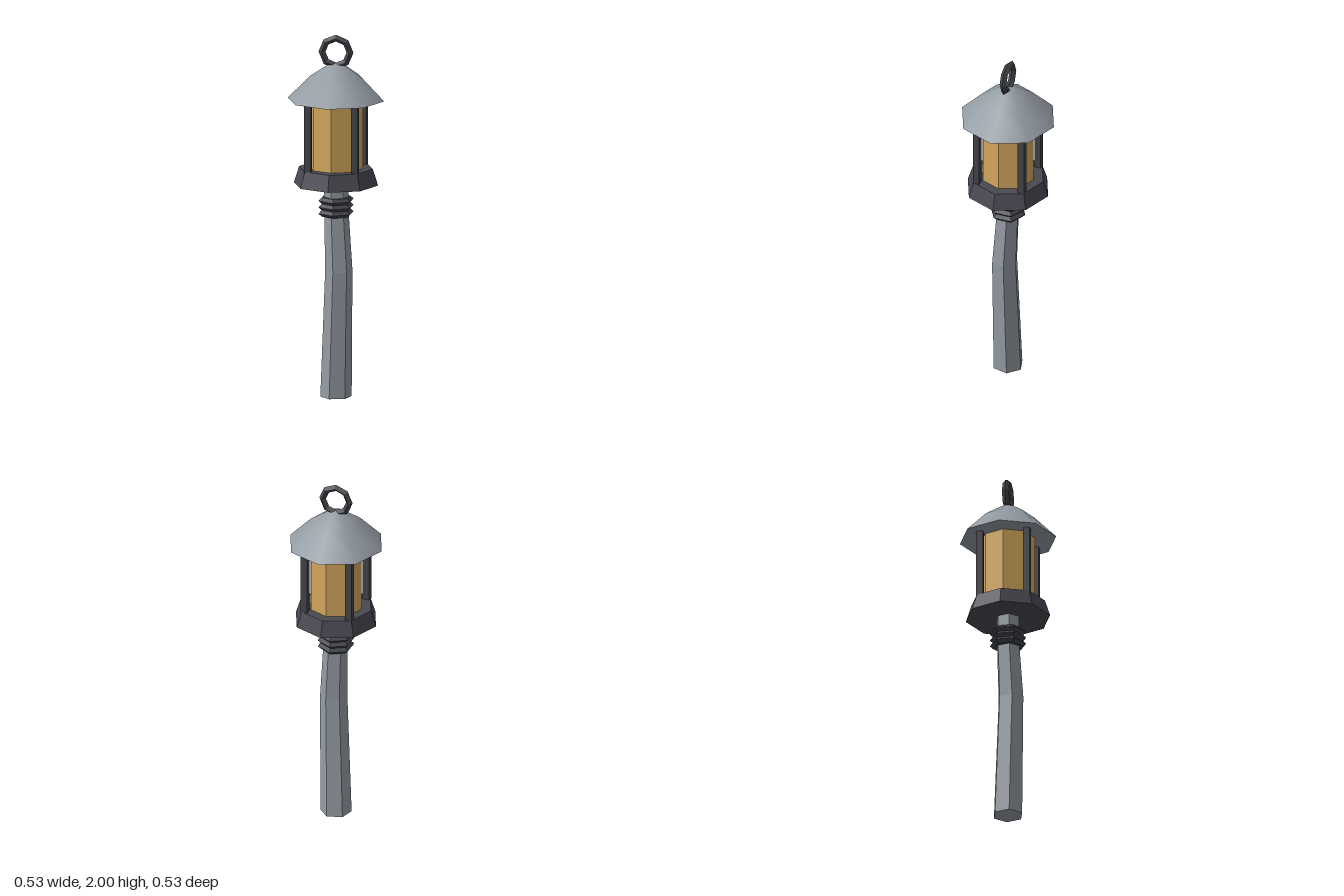
import * as THREE from 'three';

const paint = (name, color) => {
  const m = new THREE.MeshStandardMaterial({ color });
  m.name = name;
  return m;
};

// Facet a geometry so that every face has its own normal
const flat = (g) => {
  const f = g.index ? g.toNonIndexed() : g;
  f.computeVertexNormals();
  return f;
};

export function createModel() {
  const stone = paint('weathered grey', 0x949ca4);
  const metal = paint('dark metal', 0x4a4953);
  const iron = paint('black iron', 0x43454b);
  const amber = paint('amber glass', 0xd6a95e);

  const model = new THREE.Group();
  model.name = 'lanternPost';
  const add = (name, geometry, material, y = 0, parent = model) => {
    const mesh = new THREE.Mesh(geometry, material);
    mesh.name = name;
    mesh.position.y = y;
    parent.add(mesh);
    return mesh;
  };

  // Crooked six-sided pole: each row has a height, radius and centre
  const rows = [
    [0, 0.085, 0, 0],
    [0.7, 0.074, 0.018, 0.013],
    [1.03, 0.066, 0.002, 0],
    [1.19, 0.066, 0, 0],
  ];
  const pole = new THREE.CylinderGeometry(1, 1, 1, 6, 3, false, Math.PI / 4);
  const p = pole.attributes.position;
  for (let i = 0; i < p.count; i++) {
    const [y, r, cx, cz] = rows[Math.round((p.getY(i) + 0.5) * 3)];
    p.setXYZ(i, p.getX(i) * r + cx, y, p.getZ(i) * r + cz);
  }
  add('pole', flat(pole), stone);

  // Collar of three ridged rings
  const profile = [new THREE.Vector2(0.05, 1.0)];
  for (let i = 0; i < 3; i++) {
    const y = 1.0 + i * 0.035;
    profile.push(new THREE.Vector2(0.082, y), new THREE.Vector2(0.1, y + 0.0175));
  }
  profile.push(new THREE.Vector2(0.082, 1.105), new THREE.Vector2(0.05, 1.105));
  add('collar', flat(new THREE.LatheGeometry(profile, 6)), iron);

  // Lantern base and glass
  add('lanternBase', flat(new THREE.CylinderGeometry(0.203, 0.232, 0.09, 8)), metal, 1.22);
  add('glass', flat(new THREE.CylinderGeometry(0.148, 0.148, 0.4, 8)), amber, 1.455);

  // Four corner bars
  const bars = new THREE.Group();
  bars.name = 'cornerBars';
  model.add(bars);
  for (const x of [-0.129, 0.129]) {
    for (const z of [-0.129, 0.129]) {
      const bar = add('cornerBar', new THREE.BoxGeometry(0.037, 0.4, 0.037), iron, 1.455, bars);
      bar.position.x = x;
      bar.position.z = z;
    }
  }

  // Smooth eight-sided roof with a flat underside
  const roof = [[0.265, 1.642], [0.145, 1.765], [0.05, 1.83], [0, 1.843]];
  add('roof', new THREE.LatheGeometry(roof.map(([r, y]) => new THREE.Vector2(r, y)), 8), stone);
  add('roofUnderside', new THREE.CircleGeometry(0.265, 8).rotateX(Math.PI / 2), stone, 1.642);

  // Hanging ring
  add('hangingRing', flat(new THREE.TorusGeometry(0.077, 0.019, 4, 8)), iron, 1.904);

  return model;
}
